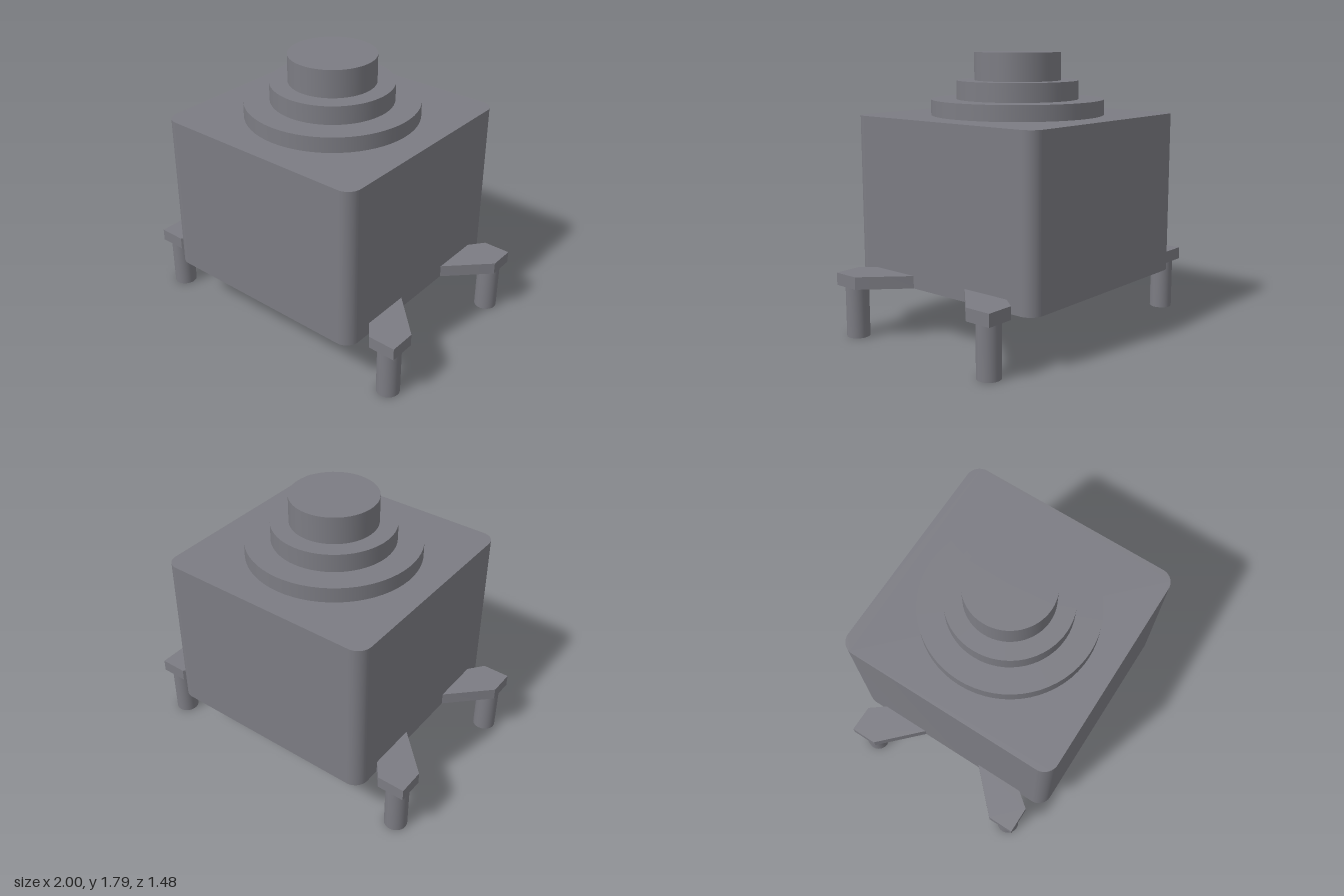
import * as THREE from 'three';
import { toCreasedNormals } from 'three/addons/utils/BufferGeometryUtils.js';

const BASE = 0.335; // height of the underside of the housing

// Extrude a plan-view shape upwards from y = 0
function slab(shape, height) {
  const geometry = new THREE.ExtrudeGeometry(shape, { depth: height, bevelEnabled: false, curveSegments: 10 });
  geometry.rotateX(-Math.PI / 2);
  return toCreasedNormals(geometry, 0.6);
}

// Square outline with rounded corners
function roundedSquare(h, r) {
  const s = new THREE.Shape();
  s.absarc(h - r, h - r, r, 0, Math.PI / 2);
  s.absarc(r - h, h - r, r, Math.PI / 2, Math.PI);
  s.absarc(r - h, r - h, r, Math.PI, Math.PI * 1.5);
  s.absarc(h - r, r - h, r, Math.PI * 1.5, Math.PI * 2);
  s.closePath();
  return s;
}

export function createModel() {
  const group = new THREE.Group();
  const grey = new THREE.MeshStandardMaterial({ color: 0x7c7c83 });
  grey.name = 'grey';

  function add(parent, name, geometry, x, y, z) {
    const mesh = new THREE.Mesh(geometry, grey);
    mesh.name = name;
    mesh.position.set(x, y, z);
    parent.add(mesh);
  }

  // Housing
  add(group, 'housing', slab(roundedSquare(0.742, 0.092), 1.055), 0, BASE, 0);

  // Stepped round top: [name, radius, bottom, top]
  const steps = [
    ['lowerStep', 0.56, 1.39, 1.49],
    ['middleStep', 0.395, 1.49, 1.61],
    ['topBoss', 0.28, 1.61, 1.79],
  ];
  for (const [name, r, y0, y1] of steps) {
    add(group, name, new THREE.CylinderGeometry(r, r, y1 - y0, 64), 0, (y0 + y1) / 2, 0);
  }

  // Four mounting feet, each an angled tab with a round peg
  const outline = [[0.73, 0.21], [0.742, 0.22], [1, 0.475], [1, 0.65], [0.82, 0.65], [0.742, 0.55], [0.73, 0.535]];
  for (const sx of [1, -1]) {
    for (const sz of [1, -1]) {
      const foot = new THREE.Group();
      foot.name = (sz > 0 ? 'front' : 'back') + (sx > 0 ? 'Left' : 'Right') + 'Foot';
      const shape = new THREE.Shape(outline.map(([x, z]) => new THREE.Vector2(x * sx, -z * sz)));
      add(foot, 'tab', slab(shape, 0.08), 0, BASE, 0);
      add(foot, 'peg', new THREE.CylinderGeometry(0.074, 0.074, BASE, 32), 0.909 * sx, BASE / 2, 0.564 * sz);
      group.add(foot);
    }
  }
  return group;
}
